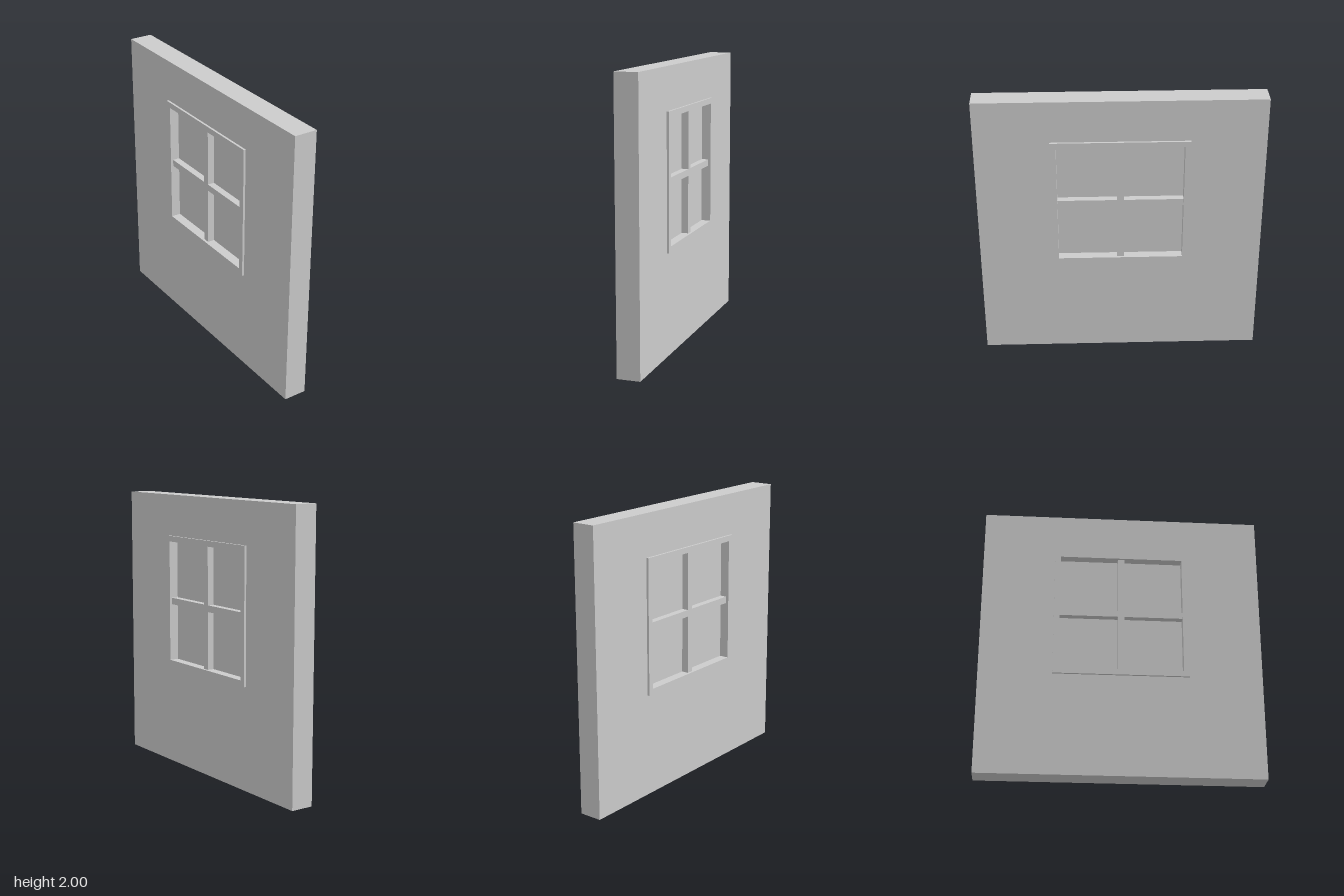
import * as THREE from 'three';

const CENTRE_Y = 1.219;   // height of the window's middle
const OUTER = 0.482;      // half size of the window frame
const INNER = 0.441;      // half size of the glazed opening
const BAR = 0.024;        // half width of a glazing bar

const material = new THREE.MeshStandardMaterial({ color: 0xcccccc, flatShading: true });

function rectangle(PathType, halfZ, y0, y1) {
  return new PathType([[-halfZ, y0], [halfZ, y0], [halfZ, y1], [-halfZ, y1]]
    .map(([z, y]) => new THREE.Vector2(z, y)));
}

// A slab across x, centred on x = 0, with a square hole
function holedSlab(name, halfZ, y0, y1, hole, thickness) {
  const shape = rectangle(THREE.Shape, halfZ, y0, y1);
  shape.holes.push(rectangle(THREE.Path, hole, CENTRE_Y - hole, CENTRE_Y + hole));
  const geometry = new THREE.ExtrudeGeometry(shape, { depth: thickness, bevelEnabled: false });
  geometry.translate(0, 0, -thickness / 2).rotateY(Math.PI / 2);
  const mesh = new THREE.Mesh(geometry, material);
  mesh.name = name;
  return mesh;
}

function box(name, size, y, z) {
  const mesh = new THREE.Mesh(new THREE.BoxGeometry(...size), material);
  mesh.position.set(0, y, z);
  mesh.name = name;
  return mesh;
}

export function createModel() {
  const model = new THREE.Group();
  model.name = 'wallWithWindow';

  model.add(holedSlab('wall', 1, 0, 2, OUTER, 0.165));

  const win = new THREE.Group();
  win.name = 'window';
  model.add(win);

  // Frame stands slightly proud of both wall faces
  win.add(holedSlab('windowFrame', OUTER, CENTRE_Y - OUTER, CENTRE_Y + OUTER, INNER, 0.197));

  // Recessed pane, visible from both sides
  win.add(box('windowPane', [0.06, INNER * 2, INNER * 2], CENTRE_Y, 0));

  // Glazing bars: one upright, and a crossbar in two halves
  const depth = 0.16;
  win.add(box('verticalBar', [depth, INNER * 2, BAR * 2], CENTRE_Y, 0));
  for (const side of [-1, 1]) {
    win.add(box('crossBar', [depth, BAR * 2, INNER - BAR], CENTRE_Y, side * (INNER + BAR) / 2));
  }

  return model;
}
